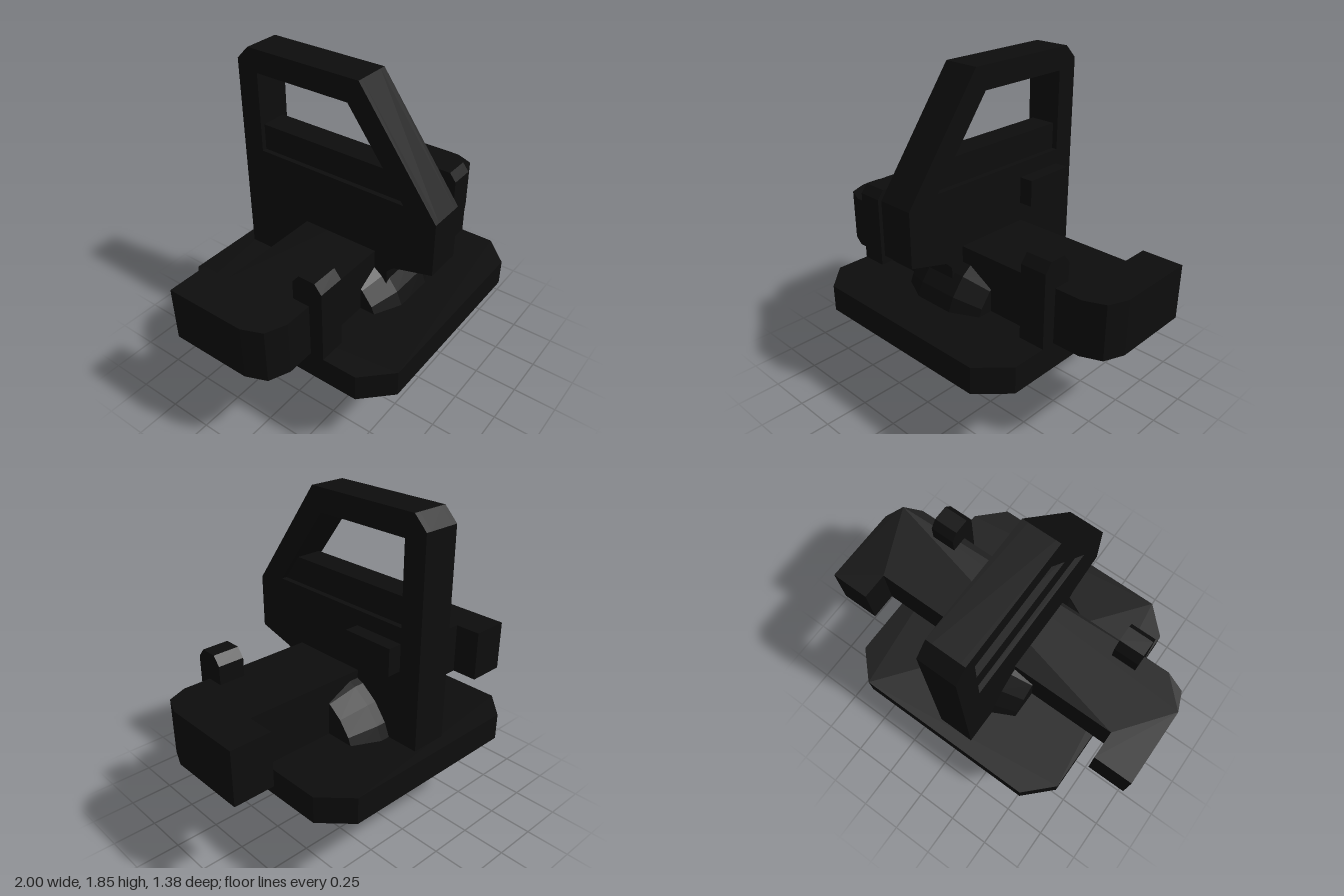
import * as THREE from 'three';

export function createModel() {
  const group = new THREE.Group();
  const black = new THREE.MeshStandardMaterial({ color: 0x0d0d0d });
  black.name = 'matte black';

  const add = (name, geometry) => {
    const flat = geometry.index ? geometry.toNonIndexed() : geometry;
    flat.computeVertexNormals();
    const mesh = new THREE.Mesh(flat, black);
    mesh.name = name;
    group.add(mesh);
  };
  const points = (list) => list.map(([a, b]) => new THREE.Vector2(a, b));
  const extrude = (outline, depth, hole) => {
    const shape = new THREE.Shape(points(outline));
    if (hole) shape.holes.push(new THREE.Path(points(hole)));
    return new THREE.ExtrudeGeometry(shape, { depth, bevelEnabled: false });
  };
  // Plan outline (x, z) raised between two heights
  const plan = (outline, y0, y1) => extrude(outline, y1 - y0).rotateX(Math.PI / 2).translate(0, y1, 0);
  // Side outline (z, y) spread between two x positions
  const side = (outline, x0, x1, hole) =>
    extrude(outline, x1 - x0, hole).rotateY(-Math.PI / 2).translate(x1, 0, 0);

  // Octagonal base plate
  add('basePlate', plan([
    [-0.69, -0.54], [-0.54, -0.69], [0.54, -0.69], [0.69, -0.54],
    [0.69, 0.54], [0.54, 0.69], [-0.54, 0.69], [-0.69, 0.54],
  ], 0.465, 0.617));

  // Faceted ring wheel with bevelled tread, axle along x
  add('wheel', new THREE.LatheGeometry(points([
    [0.24, -0.27], [0.39, -0.27], [0.46, -0.12], [0.46, 0.12],
    [0.39, 0.27], [0.24, 0.27], [0.24, -0.27],
  ]), 24).rotateZ(Math.PI / 2).translate(0, 0.463, 0));

  // Cross bar with swept-back, chamfered ends
  const half = [[1, -0.35], [1, 0.11], [0.955, 0.22], [0.845, 0.267]];
  const inner = [[0.77, -0.19], [0.77, -0.35]];
  const right = [...inner, ...half];
  const left = right.map(([x, z]) => [-x, z]).reverse();
  add('crossBar', plan([...right, ...left], 0.617, 0.925));

  // Clips standing on the front of the cross bar
  const clip = [
    [0.17, 0.6], [0.345, 0.6], [0.345, 1.03], [0.305, 1.08], [0.21, 1.08], [0.17, 1.03],
  ];
  for (const s of [-1, 1]) add(s > 0 ? 'leftClip' : 'rightClip', side(clip, s * 0.615 - 0.075, s * 0.615 + 0.075));

  // Upright door: a core with thin skins whose opening drops lower, leaving a sill
  const door = [
    [-0.615, 0.6], [0.345, 0.6], [0.345, 0.825], [0.385, 0.865], [0.615, 0.925],
    [0.615, 1.23], [0.155, 1.85], [-0.54, 1.85], [-0.615, 1.775],
  ];
  const opening = (y, z) => [[-0.487, y], [z, y], [0.09, 1.722], [-0.487, 1.722]];
  const core = opening(1.418, 0.317);
  const skin = opening(1.27, 0.428);
  add('doorCore', side(door, -0.12, 0.03, core));
  add('doorLeftSkin', side(door, 0.03, 0.062, skin));
  add('doorRightSkin', side(door, -0.148, -0.12, skin));

  // Door handle
  add('doorHandle', new THREE.BoxGeometry(0.085, 0.152, 0.305).translate(0.1, 1.108, -0.335));

  return group;
}
